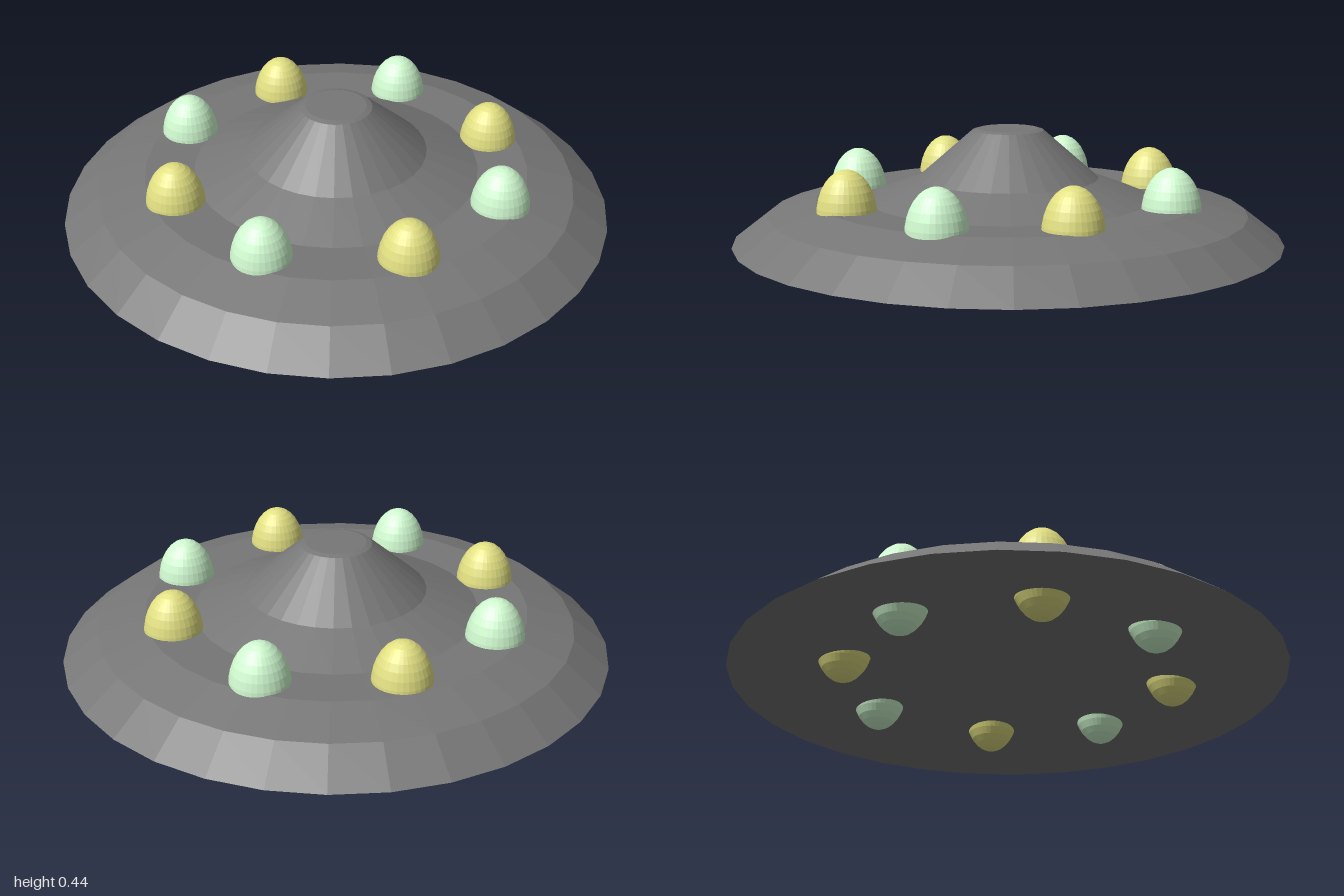
import * as THREE from 'three';

function material(color) {
  return new THREE.MeshStandardMaterial({ color, flatShading: true });
}

export function createModel() {
  const model = new THREE.Group();
  model.name = 'saucer';

  // Hull: hollowed underside, sloping rim, level lamp ring and raised cone
  const profile = [
    [0, 0.135], [0.18, 0.135], [1, 0.04], [0.87, 0.14], [0.7, 0.19],
    [0.52, 0.187], [0.33, 0.26], [0.13, 0.434], [0.11, 0.44], [0, 0.44],
  ].map(([r, y]) => new THREE.Vector2(r, y));
  const hull = new THREE.Mesh(new THREE.LatheGeometry(profile, 32), material(0x777777));
  hull.name = 'hull';
  model.add(hull);

  // Lamps: tall ellipsoids through the hull, alternating green and yellow
  const lamps = new THREE.Group();
  lamps.name = 'lamps';
  const egg = new THREE.SphereGeometry(1, 32, 16).scale(0.106, 0.164, 0.106);
  const green = material(0xd0fad0);
  const yellow = material(0xe2e082);
  const spots = [
    [0, 0.615], [0.45, 0.425], [0.63, 0], [0.45, -0.405],
    [0, -0.615], [-0.425, -0.415], [-0.61, 0], [-0.425, 0.44],
  ];
  spots.forEach(([x, z], i) => {
    const lamp = new THREE.Mesh(egg, i % 2 ? yellow : green);
    lamp.name = i % 2 ? 'yellowLamp' : 'greenLamp';
    lamp.position.set(x, 0.168, z);
    lamps.add(lamp);
  });
  model.add(lamps);

  return model;
}
